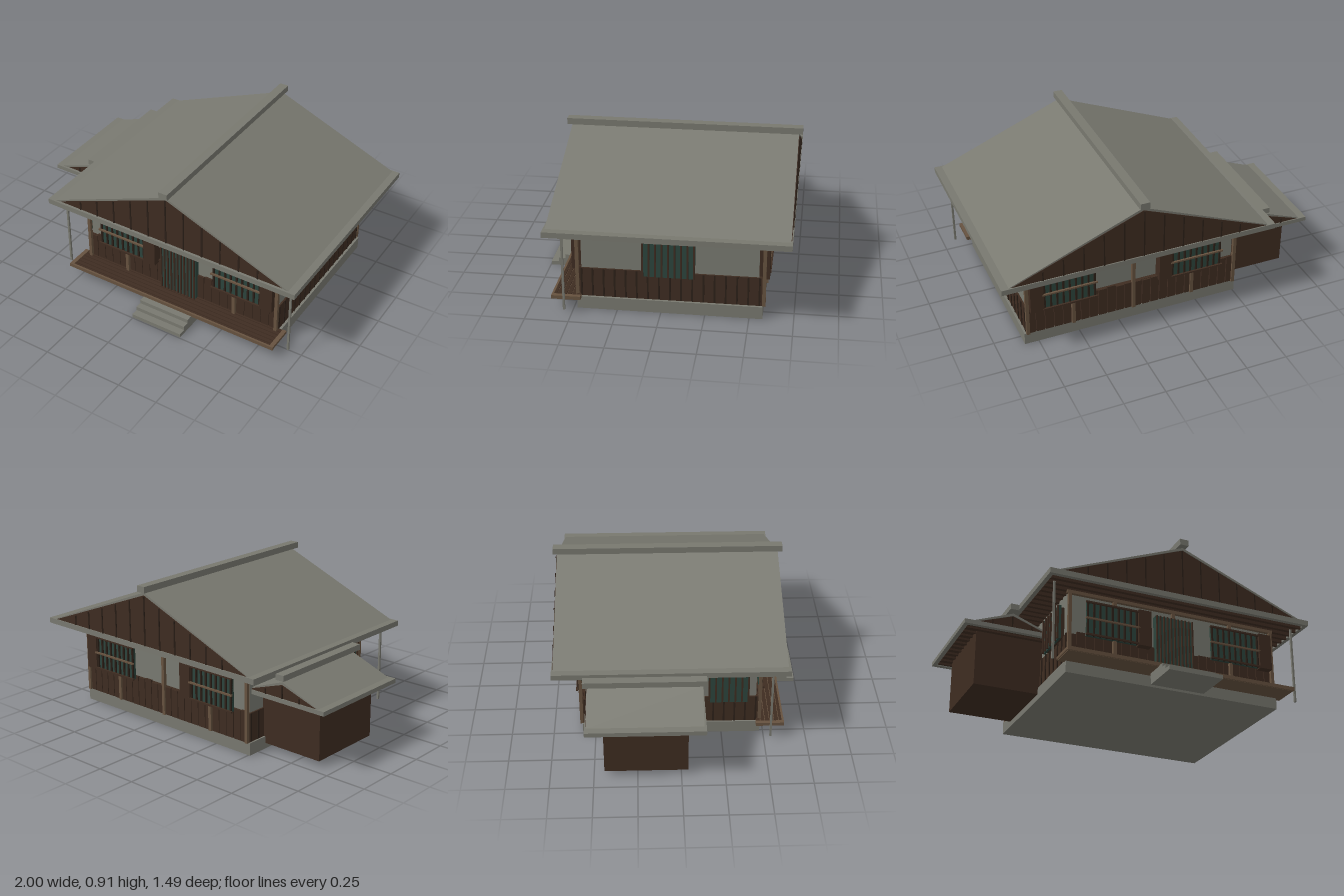
import * as THREE from 'three';

const mat = (name, color) => {
  const m = new THREE.MeshStandardMaterial({ color });
  m.name = name;
  return m;
};

export function createModel() {
  const stone = mat('weathered grey', 0x78786f);
  const plaster = mat('plaster', 0x787970);
  const darkWood = mat('dark wood', 0x3e2c21);
  const seam = mat('seam wood', 0x2c2018);
  const trim = mat('trim wood', 0x66523f);
  const green = mat('green pane', 0x2c443c);

  const root = new THREE.Group();
  root.name = 'house';
  const group = (name, parent = root) => {
    const g = new THREE.Group();
    g.name = name;
    parent.add(g);
    return g;
  };
  // box given by its limits on each axis
  const box = (parent, name, m, x0, x1, y0, y1, z0, z1) => {
    const mesh = new THREE.Mesh(new THREE.BoxGeometry(x1 - x0, y1 - y0, z1 - z0), m);
    mesh.position.set((x0 + x1) / 2, (y0 + y1) / 2, (z0 + z1) / 2);
    mesh.name = name;
    parent.add(mesh);
    return mesh;
  };
  // outline in x and y, extruded from z0 to z1
  const prism = (parent, name, m, pts, z0, z1) => {
    const shape = new THREE.Shape(pts.map(p => new THREE.Vector2(...p)));
    const geo = new THREE.ExtrudeGeometry(shape, { depth: z1 - z0, bevelEnabled: false });
    const mesh = new THREE.Mesh(geo, m);
    mesh.position.z = z0;
    mesh.name = name;
    parent.add(mesh);
  };
  let seed = 7;
  const rand = () => (seed = (seed * 16807) % 2147483647) / 2147483647;

  // Foundation and walls
  const walls = group('walls');
  box(walls, 'foundation', stone, -0.51, 0.835, 0, 0.075, -0.575, 0.48);
  box(walls, 'upperWall', plaster, -0.49, 0.81, 0.075, 0.515, -0.55, 0.455);
  box(walls, 'lowerWall', darkWood, -0.5, 0.82, 0.075, 0.25, -0.57, 0.463);

  // Uneven boards along the front and back
  const boards = 24;
  for (const z of [0.463, -0.573]) {
    for (let i = 0; i < boards; i++) {
      const x = -0.5 + i * 1.32 / boards;
      box(walls, 'wallBoard', darkWood, x + 0.003, x + 0.052, 0.075, 0.245 + rand() * 0.02, z - 0.006, z + 0.006);
    }
  }
  // Battens along the sides
  for (const x of [-0.502, 0.822]) {
    for (let i = 0; i <= 16; i++) {
      const z = -0.555 + i * 0.063;
      box(walls, 'sideBatten', seam, x - 0.003, x + 0.003, 0.078, 0.25, z - 0.005, z + 0.005);
    }
  }

  // Timber posts and head beams
  const frame = group('timberFrame');
  for (const z of [0.478, -0.58]) {
    for (const x of [-0.492, -0.215, 0.16, 0.535, 0.815]) {
      box(frame, 'wallPost', trim, x - 0.01, x + 0.01, 0.075, 0.505, z - 0.01, z + 0.01);
    }
    box(frame, 'headBeam', trim, -0.51, 0.83, 0.49, 0.51, z - 0.01, z + 0.01);
  }

  // Barred window built facing +z, with its lower centre at the origin
  const barredWindow = (name, w, h, rails) => {
    const g = group(name);
    box(g, 'pane', green, -w / 2, w / 2, 0, h, -0.012, 0.002);
    const n = Math.round(w / 0.04);
    for (let i = 0; i <= n; i++) {
      const x = -w / 2 + 0.005 + i * (w - 0.01) / n;
      box(g, 'windowBar', rails ? seam : darkWood, x - 0.005, x + 0.005, 0, h, 0, 0.012);
    }
    if (rails) {
      for (const y of [0.004, h / 2, h - 0.004]) {
        box(g, 'windowRail', y === h / 2 ? trim : darkWood, -w / 2 - 0.01, w / 2 + 0.01, y - 0.005, y + 0.005, 0.01, 0.022);
      }
    }
    return g;
  };

  // Front and back windows with shutter boxes
  for (const x of [-0.235, 0.56]) {
    barredWindow('frontWindow', 0.315, 0.21, true).position.set(x, 0.24, 0.49);
    box(root, 'frontShutterBox', darkWood, x + 0.16, x + 0.24, 0.235, 0.46, 0.455, 0.512);
    const back = barredWindow('backWindow', 0.315, 0.21, true);
    back.position.set(x, 0.24, -0.59);
    back.rotation.y = Math.PI;
    box(root, 'backShutterBox', darkWood, x + 0.16, x + 0.24, 0.235, 0.455, -0.608, -0.55);
  }
  // Side windows
  for (const [x, z, turn] of [[0.848, -0.045, 1], [-0.528, 0.29, -1]]) {
    const side = barredWindow('sideWindow', turn > 0 ? 0.3 : 0.24, 0.21, false);
    side.position.set(x, 0.233, z);
    side.rotation.y = turn * Math.PI / 2;
    box(root, 'sideWindowFrame', darkWood, Math.min(x, x - turn * 0.04), Math.max(x, x - turn * 0.04) - 0.004,
      0.24, 0.435, z - 0.11, z + 0.11);
  }

  // Slatted entrance door
  const door = group('door');
  box(door, 'doorPanel', green, 0.04, 0.28, 0.085, 0.45, 0.46, 0.495);
  for (let i = 0; i <= 10; i++) {
    const x = 0.045 + i * 0.023;
    box(door, 'doorSlat', darkWood, x - 0.004, x + 0.004, 0.085, 0.45, 0.495, 0.505);
  }

  // Veranda deck, steps and slender eave posts
  const veranda = group('veranda');
  box(veranda, 'deckBase', trim, -0.55, 0.87, 0.068, 0.083, 0.455, 0.615);
  for (let i = 0; i < 6; i++) {
    const z = 0.455 + i * 0.0275;
    box(veranda, 'deckBoard', darkWood, -0.545, 0.865, 0.08, 0.089, z + 0.002, z + 0.025);
  }
  box(veranda, 'deckEdge', trim, -0.555, 0.875, 0.07, 0.092, 0.61, 0.622);
  for (const x of [-0.55, 0.855]) box(veranda, 'deckEnd', trim, x - 0.005, x + 0.02, 0.075, 0.092, 0.455, 0.615);
  [0.745, 0.7, 0.66].forEach((z, i) =>
    box(veranda, 'step', stone, -0.005, 0.33, i * 0.024, (i + 1) * 0.024, 0.51, z));
  for (const x of [-0.61, 0.93]) {
    box(veranda, 'eavePost', stone, x - 0.006, x + 0.006, 0.04, 0.515, 0.53, 0.542);
  }

  // Gabled roof: eave frame, soffit, board gables, two slopes and a ridge cap
  const gableRoof = (name, r) => {
    const g = group(name);
    const { cx, half, gable, y0, y1, apex, z0, z1, cap } = r;
    const t = 0.025;
    for (const s of [-1, 1]) {
      const a = cx + s * half, b = cx + s * (half - t);
      box(g, 'sideFascia', stone, Math.min(a, b), Math.max(a, b), y0, y1, z0, z1);
    }
    for (const [a, b] of [[z0, z0 + t], [z1 - t, z1]]) {
      box(g, 'endFascia', stone, cx - half + t, cx + half - t, y0, y1, a, b);
    }
    box(g, 'eaveTop', stone, cx - half + t, cx + half - t, y1 - 0.012, y1, z0 + t, z1 - t);
    box(g, 'soffit', darkWood, cx - half + t, cx + half - t, y1 - 0.018, y1 - 0.012, z0 + t, z1 - t);
    // rafters under the side eaves
    const n = Math.round((z1 - z0) / 0.055);
    for (let i = 1; i < n; i++) {
      const z = z0 + i * (z1 - z0) / n;
      box(g, 'rafter', darkWood, cx - half + t, cx + half - t, y0 - 0.004, y1 - 0.018, z - 0.008, z + 0.008);
    }
    prism(g, 'gableBody', darkWood, [[cx - gable, y1], [cx + gable, y1], [cx, apex - 0.008]], z0 + 0.006, z1 - 0.016);
    const count = Math.floor(gable / 0.12);
    for (let i = -count; i <= count; i++) {
      const x = i * 0.12 - 0.004;
      const top = y1 + (apex - y1) * (1 - (Math.abs(x) + 0.006) / gable) - 0.01;
      if (top < y1 + 0.02) continue;
      box(g, 'gableBatten', seam, cx + x - 0.004, cx + x + 0.004, y1, top, z1 - 0.016, z1 - 0.011);
      box(g, 'gableBatten', seam, cx + x - 0.004, cx + x + 0.004, y1, top, z0 + 0.001, z0 + 0.006);
    }
    for (const s of [-1, 1]) {
      const pts = [[cx + s * gable, y1 - 0.004], [cx + s * (gable + 0.015), y1], [cx, apex + 0.008], [cx, apex - 0.008]];
      prism(g, 'roofSlope', stone, pts, z0 + 0.009, z1 - 0.012);
    }
    box(g, 'ridgeCap', stone, cx - cap.w, cx + cap.w, cap.y0, cap.y1, z0 - 0.014, z1 + 0.014);
  };
  gableRoof('mainRoof', {
    cx: 0.163, half: 0.835, gable: 0.775, y0: 0.512, y1: 0.545, apex: 0.857,
    z0: -0.732, z1: 0.632, cap: { w: 0.028, y0: 0.87, y1: 0.908 },
  });

  // Side annex
  const annex = group('annex');
  box(annex, 'annexWall', darkWood, -0.9, -0.49, 0.035, 0.37, -0.44, 0.04);
  gableRoof('annexRoof', {
    cx: -0.705, half: 0.295, gable: 0.235, y0: 0.36, y1: 0.386, apex: 0.473,
    z0: -0.54, z1: 0.137, cap: { w: 0.027, y0: 0.495, y1: 0.53 },
  });
  return root;
}
